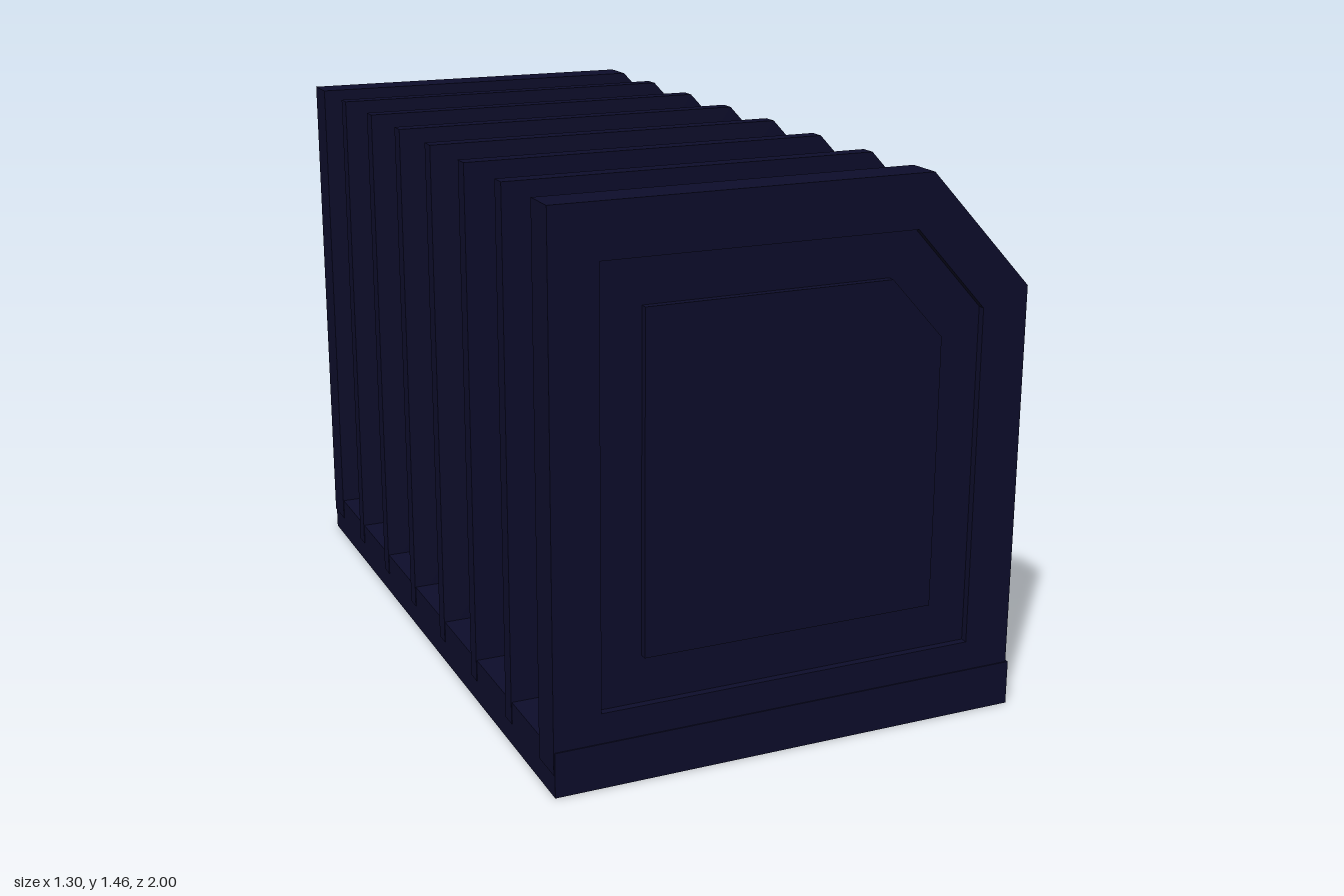
import * as THREE from 'three';

const navy = new THREE.MeshStandardMaterial({ color: 0x0d0d2b });
navy.name = 'dark navy';

// Upright outline with one clipped top corner
const clipped = (x0, y0, x1, y1, cutX, cutY) => [
  [x0, y0], [x1, y0], [x1, y1 - cutY], [x1 - cutX, y1], [x0, y1],
].map(([x, y]) => new THREE.Vector2(x, y));

const panelOutline = clipped(-0.65, 0.06, 0.64, 1.462, 0.287, 0.31);
const grooveOuter = clipped(-0.524, 0.2, 0.512, 1.323, 0.197, 0.217);
const grooveInner = clipped(-0.41, 0.325, 0.393, 1.205, 0.145, 0.16);

// Flat slab cut from an outline, spanning z0 to z1
function slab(name, outline, z0, z1, hole) {
  const shape = new THREE.Shape(outline);
  if (hole) shape.holes.push(new THREE.Path(hole));
  const geo = new THREE.ExtrudeGeometry(shape, { depth: z1 - z0, bevelEnabled: false });
  geo.translate(0, 0, z0);
  const mesh = new THREE.Mesh(geo, navy);
  mesh.name = name;
  return mesh;
}

// Thick end wall with a shallow groove cut into its outer face
function endWall(name, side, outerZ, innerZ) {
  const wall = new THREE.Group();
  wall.name = name;
  const floorZ = outerZ - side * 0.02;
  const span = (a, b) => [Math.min(a, b), Math.max(a, b)];
  wall.add(
    slab('wallCore', panelOutline, ...span(innerZ, floorZ)),
    slab('wallBorder', panelOutline, ...span(floorZ, outerZ), grooveOuter),
    slab('raisedCentre', grooveInner, ...span(floorZ, outerZ)),
  );
  return wall;
}

export function createModel() {
  const model = new THREE.Group();
  model.name = 'slottedRack';

  // Base tray
  const base = new THREE.Mesh(new THREE.BoxGeometry(1.294, 0.12, 1.996), navy);
  base.position.set(-0.001, 0.06, 0.002);
  base.name = 'base';
  model.add(base);

  // End walls
  model.add(endWall('frontWall', 1, 0.997, 0.898));
  model.add(endWall('backWall', -1, -1, -0.901));

  // Thin dividers, evenly spaced
  for (let i = 0; i < 6; i++) {
    const z = 0.678 - i * 0.2715;
    model.add(slab('divider' + (i + 1), panelOutline, z - 0.022, z + 0.022));
  }
  return model;
}
